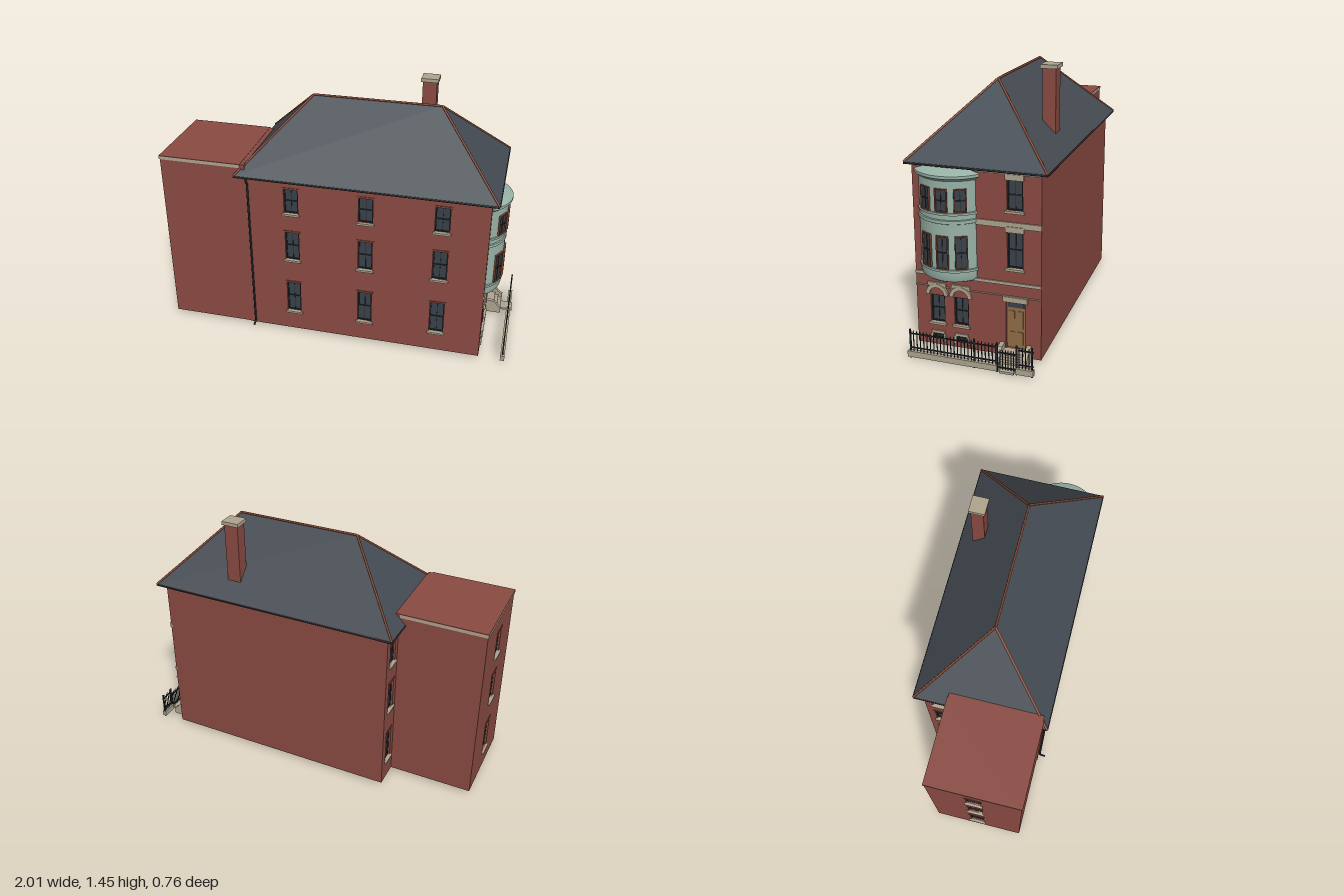
import * as THREE from 'three';
import { toCreasedNormals } from 'three/addons/utils/BufferGeometryUtils.js';

const mat = (name, color, extra = {}) => {
  const m = new THREE.MeshStandardMaterial({ color, ...extra });
  m.name = name;
  return m;
};
const brick = mat('brick', 0x8a4a42);
const slate = mat('slate', 0x444b52);
const stone = mat('stone', 0xaea48f);
const copper = mat('paleGreen', 0x98b2a6, { side: THREE.DoubleSide });
const glass = mat('glass', 0x3a4149);
const iron = mat('iron', 0x22282b);
const terracotta = mat('terracotta', 0x83452f);
const wood = mat('wood', 0x8f6d46);

const add = (parent, name, geo, m) => {
  const mesh = new THREE.Mesh(geo, m);
  mesh.name = name;
  parent.add(mesh);
  return mesh;
};
// Box given by its minimum and maximum on every axis
const box = (parent, name, m, x0, x1, y0, y1, z0, z1) => {
  const b = add(parent, name, new THREE.BoxGeometry(x1 - x0, y1 - y0, z1 - z0), m);
  b.position.set((x0 + x1) / 2, (y0 + y1) / 2, (z0 + z1) / 2);
  return b;
};
const rod = (parent, name, m, pts, r) => {
  for (let i = 1; i < pts.length; i++) {
    const a = new THREE.Vector3(...pts[i - 1]), b = new THREE.Vector3(...pts[i]);
    add(parent, name, new THREE.TubeGeometry(new THREE.LineCurve3(a, b), 1, r, 8), m);
  }
};

// Sash window in local coordinates, wall surface at z = 0
function sash(parent, u, y0, y1, w, z, frameMat) {
  const g = new THREE.Group();
  g.name = 'window';
  const a = u - w / 2, b = u + w / 2, t = 0.006, mid = (y0 + y1) / 2;
  box(g, 'pane', glass, a, b, y0, y1, z, z + 0.003);
  for (const [x0, x1, p, q] of [[a, a + t, y0, y1], [b - t, b, y0, y1], [a, b, y0, y0 + t], [a, b, y1 - t, y1]])
    box(g, 'frame', frameMat, x0, x1, p, q, z, z + 0.01);
  box(g, 'meetingRail', iron, a + t, b - t, mid - 0.003, mid + 0.003, z, z + 0.008);
  box(g, 'glazingBar', iron, u - 0.0015, u + 0.0015, y0 + t, y1 - t, z, z + 0.006);
  parent.add(g);
}

// Wall slab with openings; outer face at local z = 0
const T = 0.03;
function facade(parent, name, u0, u1, y0, y1, windows) {
  const g = new THREE.Group();
  g.name = name;
  const rect = (S, a, b, c, d) => new S([[a, c], [b, c], [b, d], [a, d]].map(p => new THREE.Vector2(...p)));
  const shape = rect(THREE.Shape, u0, u1, y0, y1);
  for (const o of windows) {
    shape.holes.push(rect(THREE.Path, o.u - o.w / 2, o.u + o.w / 2, o.y0, o.y1));
    if (o.door) continue;
    sash(g, o.u, o.y0, o.y1, o.w, -0.02, iron);
    if (o.plain) continue;
    box(g, 'sill', stone, o.u - o.w / 2 - 0.01, o.u + o.w / 2 + 0.01, o.y0 - 0.012, o.y0, -0.02, 0.012);
    if (!o.bare) box(g, 'lintel', o.lintel || brick, o.u - o.w / 2 - 0.008, o.u + o.w / 2 + 0.008,
      o.y1, o.y1 + (o.lintel ? 0.03 : 0.01), -0.01, o.lintel ? 0.01 : 0.004);
  }
  const geo = new THREE.ExtrudeGeometry(shape, { depth: T, bevelEnabled: false }).translate(0, 0, -T);
  add(g, 'wall', geo, brick);
  parent.add(g);
  return g;
}
const ROWS = [[0.145, 0.345], [0.5, 0.68], [0.8, 0.95]];
const column = (u, w = 0.08) => ROWS.map(([y0, y1]) => ({ u, w, y0, y1 }));

function streetFront(root) {
  const open = [
    { u: 0.2, w: 0.08, y0: 0.8, y1: 0.955, lintel: stone },
    { u: 0.2, w: 0.08, y0: 0.5, y1: 0.69, lintel: stone },
    { u: 0.2, w: 0.1, y0: 0.06, y1: 0.32, door: true },
  ];
  for (const u of [-0.22, -0.09]) {
    open.push({ u, w: 0.076, y0: 0.148, y1: 0.3, bare: true });
    open.push({ u, w: 0.06, y0: 0.05, y1: 0.085, plain: true });
  }
  const g = facade(root, 'streetFront', -0.335, 0.335, 0.02, 1, open);
  g.rotation.y = Math.PI / 2;
  g.position.x = 0.845;
  // Stone bands
  for (const [a, b, y0, y1] of [[0, 0.335, 0.982, 1], [0, 0.335, 0.712, 0.742], [-0.335, 0.335, 0.41, 0.426], [-0.335, 0.335, 0.347, 0.352]])
    box(g, 'stoneBand', stone, a, b, y0, y1, -0.01, 0.006);
  // Round arches and basement surrounds
  for (const u of [-0.22, -0.09]) {
    const arch = new THREE.Shape();
    arch.absarc(0, 0, 0.06, 0, Math.PI).lineTo(-0.04, 0);
    arch.absarc(0, 0, 0.04, Math.PI, 0, true);
    add(g, 'windowArch', new THREE.ExtrudeGeometry(arch, { depth: 0.012, bevelEnabled: false, curveSegments: 16 }), stone)
      .position.set(u, 0.305, 0);
    box(g, 'archCap', stone, u - 0.05, u + 0.05, 0.355, 0.372, 0, 0.01);
    box(g, 'basementLintel', stone, u - 0.036, u + 0.036, 0.085, 0.1, 0, 0.008);
    for (const s of [-1, 1]) box(g, 'basementJamb', stone, u + s * 0.035 - 0.006, u + s * 0.035 + 0.006, 0.04, 0.085, 0, 0.008);
  }
  // Door with transom and lintel
  box(g, 'door', wood, 0.15, 0.25, 0.06, 0.32, -0.03, -0.016);
  box(g, 'transom', glass, 0.158, 0.242, 0.285, 0.312, -0.016, -0.012);
  for (const u of [0.178, 0.222]) for (const [a, b] of [[0.08, 0.15], [0.17, 0.265]])
    box(g, 'doorPanel', wood, u - 0.014, u + 0.014, a, b, -0.016, -0.013);
  box(g, 'doorLintel', stone, 0.135, 0.265, 0.32, 0.348, -0.02, 0.01);
}

function bayWindow(root) {
  const g = new THREE.Group();
  g.name = 'bayWindow';
  g.position.set(0.7325, 0, 0.15);
  const R = 0.1875, half = 0.98;
  const profile = [[0.1, 0.41], [0.172, 0.41], [0.182, 0.418], [R, 0.435], [R, 0.466], [0.194, 0.468], [0.194, 0.48], [R, 0.482],
    [R, 0.72], [0.193, 0.723], [0.193, 0.74], [R, 0.743], [R, 0.765], [0.194, 0.767], [0.194, 0.778], [R, 0.78],
    [R, 0.94], [0.196, 0.95], [0.207, 0.956], [0.207, 0.97], [0.17, 0.985], [0.1, 0.998]].map(p => new THREE.Vector2(...p));
  const shell = new THREE.LatheGeometry(profile, 28, Math.PI / 2 - half, 2 * half);
  add(g, 'bayShell', toCreasedNormals(shell, 0.5), copper);
  for (const a of [-0.5, 0, 0.5]) {
    const face = new THREE.Group();
    face.name = 'bayLight';
    face.rotation.y = Math.PI / 2 + a;
    for (const [y0, y1] of [[0.485, 0.66], [0.782, 0.902]]) sash(face, 0, y0, y1, 0.064, R - 0.001, terracotta);
    g.add(face);
  }
  root.add(g);
}

function mainRoof(root) {
  const x0 = -0.555, x1 = 0.882, z0 = -0.373, z1 = 0.36, e = 1.008, zc = -0.006, top = 1.376;
  const A = [x0, e, z1], B = [x1, e, z1], C = [x1, e, z0], D = [x0, e, z0], P = [-0.195, top, zc], Q = [0.518, top, zc];
  const tris = [A, B, Q, A, Q, P, C, D, P, C, P, Q, B, C, Q, D, A, P];
  const geo = new THREE.BufferGeometry();
  geo.setAttribute('position', new THREE.Float32BufferAttribute(tris.flat(), 3));
  geo.computeVertexNormals();
  add(root, 'hipRoof', geo, slate);
  box(root, 'eaves', terracotta, x0, x1, 0.998, e, z0, z1);
  rod(root, 'ridgeTiles', terracotta, [P, Q], 0.006);
  for (const [c, r] of [[A, P], [D, P], [B, Q], [C, Q]]) rod(root, 'hipTiles', terracotta, [c, r], 0.006);
  // Gutter around the eaves and the downpipe
  rod(root, 'gutter', iron, [[x0, 1.002, z1], [x1, 1.002, z1], [x1, 1.002, z0], [x0, 1.002, z0], [x0, 1.002, z1]], 0.005);
  rod(root, 'downpipe', iron, [[-0.485, 1, 0.36], [-0.485, 0.985, 0.36], [-0.485, 0.96, 0.342], [-0.485, 0.04, 0.342], [-0.485, 0.022, 0.375]], 0.006);
  // Chimney
  box(root, 'chimney', brick, 0.375, 0.455, 1.0, 1.426, -0.288, -0.218);
  box(root, 'chimneyCap', stone, 0.366, 0.464, 1.426, 1.446, -0.298, -0.208);
}

function stepsAndFence(root) {
  // Entrance steps between cheek walls
  for (let i = 0; i < 3; i++) box(root, 'step', stone, 0.84, 0.89 + i * 0.02, 0.008, 0.06 - i * 0.016, -0.262, -0.143);
  const cheek = new THREE.Shape([[0.84, 0.01], [0.932, 0.01], [0.932, 0.05], [0.915, 0.06], [0.89, 0.088], [0.84, 0.092]].map(p => new THREE.Vector2(...p)));
  for (const z of [-0.285, -0.143])
    add(root, 'stepCheek', new THREE.ExtrudeGeometry(cheek, { depth: 0.023, bevelEnabled: false }), stone).position.z = z;
  box(root, 'path', stone, 0.93, 1, 0.006, 0.018, -0.24, -0.165);
  // Kerb, railings and gate
  const X = 0.98;
  for (const [a, b] of [[-0.15, 0.33], [-0.338, -0.25]]) {
    box(root, 'kerb', stone, X - 0.012, X + 0.012, 0.008, 0.04, a, b);
    for (const y of [0.055, 0.133]) box(root, 'rail', iron, X - 0.003, X + 0.003, y, y + 0.006, a, b - 0.01);
    const n = Math.round((b - a - 0.02) / 0.0185);
    for (let i = 0; i <= n; i++) {
      const z = a + 0.007 + (b - a - 0.02) * i / n;
      box(root, 'picket', iron, X - 0.002, X + 0.002, 0.04, 0.146, z - 0.002, z + 0.002);
      add(root, 'picketTip', new THREE.ConeGeometry(0.004, 0.01, 4), iron).position.set(X, 0.15, z);
    }
  }
  for (const z of [0.316, -0.03, -0.15, -0.25, -0.33]) box(root, 'fencePost', iron, X - 0.004, X + 0.004, 0, 0.16, z - 0.004, z + 0.004);
  for (const y of [0.025, 0.105]) box(root, 'gateRail', iron, X - 0.003, X + 0.003, y, y + 0.006, -0.25, -0.15);
  for (let i = 1; i < 7; i++) {
    const z = -0.25 + i * 0.1 / 7;
    box(root, 'gateBar', iron, X - 0.002, X + 0.002, 0.015, 0.125, z - 0.002, z + 0.002);
  }
}

export function createModel() {
  const root = new THREE.Group();
  root.name = 'townhouse';

  // Main block: solid core with slabs on the windowed sides
  box(root, 'mainCore', brick, -0.49, 0.815, 0.02, 1, -0.335, 0.305);
  const side = facade(root, 'sideWall', -0.49, 0.815, 0.02, 1, [-0.24, 0.18, 0.595].flatMap(u => column(u)));
  side.position.z = 0.335;
  const end = facade(root, 'endWall', -0.335, 0.335, 0.02, 1, column(-0.255, 0.07));
  end.rotation.y = -Math.PI / 2;
  end.position.x = -0.52;
  streetFront(root);
  bayWindow(root);
  mainRoof(root);

  // Rear wing with flat roof
  box(root, 'wingCore', brick, -0.97, -0.5, 0.02, 1.066, -0.185, 0.331);
  const wing = facade(root, 'wingEndWall', -0.185, 0.331, 0.02, 1.066, column(0.07));
  wing.rotation.y = -Math.PI / 2;
  wing.position.x = -1 + 0.004;
  box(root, 'wingCoping', stone, -1, -0.525, 1.046, 1.064, -0.189, 0.335);
  box(root, 'wingRoof', brick, -1, -0.525, 1.064, 1.068, -0.189, 0.335);

  stepsAndFence(root);
  return root;
}
